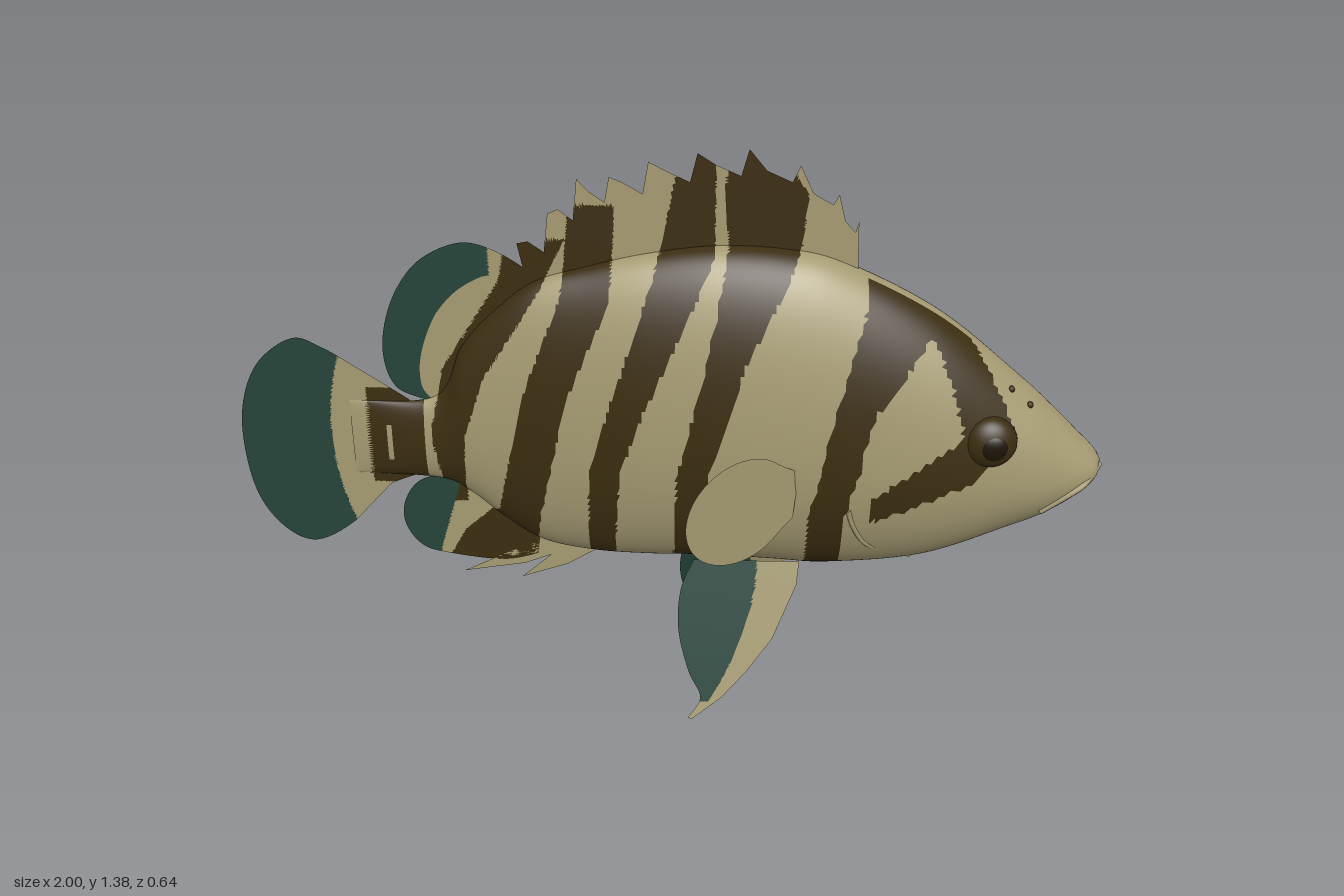
import * as THREE from 'three';

const mat = (name, color) => {
  const m = new THREE.MeshStandardMaterial({ color, side: THREE.DoubleSide });
  m.name = name;
  return m;
};
const lerp = THREE.MathUtils.lerp;

// Body stations: x, top, bottom, half width
const BODY = [
  [-.74, .765, .575, .004], [-.54, .78, .565, .035], [-.47, .91, .53, .05], [-.39, 1, .46, .067],
  [-.3, 1.07, .4, .085], [-.18, 1.108, .375, .108], [-.05, 1.14, .37, .132], [.1, 1.16, .372, .148],
  [.25, 1.155, .365, .156], [.38, 1.125, .36, .157], [.6, 1.01, .39, .152], [.8, .845, .475, .125],
  [.88, .77, .515, .105], [.94, .71, .56, .083], [.98, .67, .6, .055], [.997, .645, .63, .008],
];

// Dark bands, each a few rows of y, left x, right x from top to bottom
const cheekBand = [[1.1, .44, .53], [1.03, .43, .61], [.82, .37, .46], [.55, .32, .4], [.34, .32, .4]];
const browBand = [[1.03, .55, .62], [.9, .62, .71], [.76, .66, .78]];
const eyeBar = [[.78, .68, .76], [.66, .52, .7], [.61, .46, .6], [.55, .46, .48]];
const shoulderBand = [[1.4, .13, .22], [1.28, .12, .3], [1.16, .13, .29], [.93, .085, .17], [.65, .02, .09], [.34, .01, .09]];
const middleBand = [[1.4, .03, .1], [1.15, -.02, .1], [.82, -.13, -.05], [.65, -.18, -.11], [.34, -.19, -.13]];
const hipBand = [[1.25, -.22, -.12], [1.05, -.24, -.13], [.82, -.33, -.23], [.5, -.4, -.3], [.42, -.49, -.31], [.33, -.54, -.32]];
const rearBand = [[1.17, -.36, -.23], [1.07, -.38, -.28], [.85, -.52, -.42], [.7, -.55, -.47], [.5, -.52, -.48]];
const tailBand = [[.8, -.7, -.565], [.55, -.7, -.565]];
const bands = [cheekBand, browBand, eyeBar, shoulderBand, middleBand, hipBand, rearBand, tailBand];

function isDark(x, y) {
  // pale slit inside the tail band
  if (Math.abs(x + .65) < .01 && Math.abs(y - .665) < .045) return false;
  return bands.some(rows => rows.slice(1).some((b, k) => {
    const a = rows[k];
    if (y > a[0] || y <= b[0]) return false;
    const t = (a[0] - y) / (a[0] - b[0]);
    return x > lerp(a[1], b[1], t) && x < lerp(a[2], b[2], t);
  }));
}

// Body section at x, and the half width of the skin at (x, y)
function section(x) {
  let k = 0;
  while (k < BODY.length - 2 && BODY[k + 1][0] < x) k++;
  const a = BODY[k], b = BODY[k + 1];
  return a.map((v, n) => lerp(v, b[n], (x - a[0]) / (b[0] - a[0])));
}
function skin(x, y) {
  const [, top, bottom, w] = section(x);
  const cy = lerp(bottom, top, .43);
  const s = (y - cy) / (y > cy ? top - cy : cy - bottom);
  return w * Math.sqrt(Math.max(0, 1 - s * s));
}

// Grid surface whose cells are painted with one of several materials
function grid(name, nu, nv, point, paint, materials, closed = false) {
  const cols = closed ? nv : nv + 1, pos = [];
  for (let i = 0; i <= nu; i++) for (let j = 0; j < cols; j++) pos.push(...point(i / nu, j / nv));
  const lists = materials.map(() => []);
  const tri = (v, ...ids) => {
    const c = [0, 1, 2].map(n => ids.reduce((s, id) => s + pos[id * 3 + n], 0) / 3);
    lists[paint(...c, v)].push(...ids);
  };
  for (let i = 0; i < nu; i++) for (let j = 0; j < nv; j++) {
    const j2 = (j + 1) % cols, v = (j + .5) / nv;
    const a = i * cols + j, b = a + cols, c = (i + 1) * cols + j2, d = i * cols + j2;
    tri(v, a, b, c);
    tri(v, a, c, d);
  }
  const g = new THREE.BufferGeometry();
  g.setAttribute('position', new THREE.Float32BufferAttribute(pos, 3));
  g.setIndex(lists.flat());
  let start = 0;
  lists.forEach((l, n) => { g.addGroup(start, l.length, n); start += l.length; });
  g.computeVertexNormals();
  const mesh = new THREE.Mesh(g, materials);
  mesh.name = name;
  return mesh;
}

// Point along a smooth or straight-sided outline
function outline(pts, smooth) {
  const v = pts.map(p => new THREE.Vector2(...p));
  if (smooth) { const c = new THREE.SplineCurve(v); return t => c.getPoint(t); }
  return t => {
    const k = Math.min(Math.floor(t * (v.length - 1) + 1e-9), v.length - 2);
    return v[k].clone().lerp(v[k + 1], t * (v.length - 1) - k);
  };
}

export function createModel() {
  const fish = new THREE.Group();
  fish.name = 'fish';
  const khaki = mat('khaki skin', 0xa59a72);
  const brown = mat('dark brown bands', 0x3b2d10);
  const green = mat('dark green fin edge', 0x25443a);
  const black = mat('pupil', 0x1c1508);
  const skins = [khaki, brown, green];

  // Thin fin stretched from a base line to an outer edge
  const fin = (name, edgePts, basePts, paint, { smooth = true, z = () => 0, nu = 120, nv = 30 } = {}) => {
    const edge = outline(edgePts, smooth), base = outline(basePts, false);
    fish.add(grid(name, nu, nv, (u, v) => {
      const p = base(u).lerp(edge(u), v);
      return [p.x, p.y, z(p.x, p.y)];
    }, paint, skins));
  };
  const banded = (x, y) => isDark(x, y) ? 1 : 0;
  const plain = () => 0;

  // Body: egg-shaped sections along a smooth profile
  const spline = f => new THREE.CatmullRomCurve3(BODY.map(f), false, 'catmullrom', .5);
  const heights = spline(r => new THREE.Vector3(r[0], r[1], r[2]));
  const widths = spline(r => new THREE.Vector3(r[0], r[3], 0));
  fish.add(grid('body', 270, 96, (u, v) => {
    const { x, y: top, z: bottom } = heights.getPoint(u), w = widths.getPoint(u).y;
    const a = v * Math.PI * 2, s = Math.sin(a), cy = lerp(bottom, top, .43);
    return [x, cy + s * (s > 0 ? top - cy : cy - bottom), Math.cos(a) * w];
  }, (x, y, z) => x > .4 && Math.abs(z) < .02 ? 0 : banded(x, y), skins, true));

  // Tail
  fin('tailFin', [[-.6, .77], [-.7, .84], [-.79, .9], [-.86, .922], [-.95, .85], [-.997, .715], [-.99, .54],
    [-.94, .43], [-.86, .382], [-.76, .435], [-.68, .53], [-.6, .57]], [[-.6, .755], [-.6, .585]],
  (x, y) => x < -.79 + .75 * (y - .67) ** 2 ? 2 : banded(x, y), { nv: 70, nu: 150 });

  // Spiny back fin: a notch is cut between each pair of spine tips
  const tips = [[-.335, 1.16], [-.265, 1.23], [-.2, 1.31], [-.13, 1.315], [-.045, 1.35], [.06, 1.37], [.17, 1.38],
    [.28, 1.345], [.365, 1.28], [.41, 1.22]];
  const spiny = tips.flatMap((p, k) => {
    const q = tips[k + 1];
    return q ? [p, [lerp(p[0], q[0], .35), (p[1] + q[1]) / 2 - .03], [lerp(p[0], q[0], .85), (p[1] + q[1]) / 2 - .055]] : [p];
  });
  const backLine = spiny.map((p, k) => {
    const x = lerp(-.31, .415, k / (spiny.length - 1));
    return [x, section(x)[1] - .025];
  });
  fin('spinyDorsalFin', spiny, backLine, banded, { smooth: false, nu: 9 * 3 * 6 });

  // Rounded rear back fin
  fin('softDorsalFin', [[-.29, 1.08], [-.38, 1.14], [-.46, 1.16], [-.55, 1.12], [-.61, 1.045], [-.645, .95],
    [-.65, .865], [-.625, .8], [-.56, .77]], [[-.29, 1.05], [-.37, 1], [-.44, .93], [-.49, .85], [-.53, .76]],
  (x, y, z, v) => v > .5 && x < -.4 ? 2 : banded(x, y));

  // Rear belly fin with its loose spines
  fin('analFin', [[-.52, .575], [-.59, .555], [-.63, .5], [-.635, .435], [-.6, .375], [-.54, .352], [-.4, .335], [-.3, .36]],
    [[-.5, .57], [-.44, .51], [-.37, .455], [-.28, .41]],
    (x, y) => x < -.52 + .3 * (y - .47) ? 2 : banded(x, y));
  for (const [n, x, tipX, tipY] of [[1, -.2, -.5, .3], [2, -.15, -.36, .285]]) {
    const middle = lerp(x, tipX, .6);
    fin('analSpine' + n, [[x - .08, .4], [middle, .36], [tipX, tipY]], [[x, .385], [middle + .03, .325], [tipX, tipY]],
      plain, { nu: 12, nv: 4 });
  }

  // Paddle outline of the pectoral fin
  const paddle = Array.from({ length: 13 }, (_, k) => {
    const a = THREE.MathUtils.degToRad(lerp(40, 320, k / 12));
    return [.165 + .12 * Math.cos(a), .625 + .13 * Math.sin(a)];
  });

  for (const [side, s] of [['Front', 1], ['Back', -1]]) {
    // Long pelvic fins splayed outwards
    fin('pelvicFin' + side, [[.06, .385], [.03, .315], [.025, .22], [.05, .12], [.08, .055], [.05, .005]],
      [[.31, .385], [.305, .33], [.25, .2], [.19, .12], [.13, .055], [.06, .002]],
      (x, y) => y > .045 && x < .21 - .9 * (.38 - y) ** 2 - .03 * (.38 - y) ? 2 : 0,
      { z: (x, y) => s * (.065 + (.385 - y) * .31), nu: 60, nv: 40 });

    // Pectoral fins
    fin('pectoralFin' + side, paddle, [[.295, .68], [.285, .565]], plain,
      { z: x => s * (.15 + (.295 - x) * .68), nu: 40, nv: 8 });

    // Eye and pupil
    const eye = new THREE.Group();
    eye.name = 'eye' + side;
    const ball = new THREE.Mesh(new THREE.SphereGeometry(1, 28, 20), brown);
    ball.name = 'eyeball';
    ball.scale.set(.062, .062, .042);
    const pupil = new THREE.Mesh(new THREE.SphereGeometry(1, 20, 14), black);
    pupil.name = 'pupil';
    pupil.scale.set(.032, .032, .014);
    pupil.position.set(.005, 0, s * .031);
    eye.add(ball, pupil);
    eye.position.set(.718, .745, s * .114);
    fish.add(eye);

    // Nostrils
    for (const x of [.765, .81]) {
      const y = section(x)[1] - .025;
      const nostril = new THREE.Mesh(new THREE.SphereGeometry(.008, 10, 8), brown);
      nostril.name = 'nostril' + side;
      nostril.position.set(x, y, s * skin(x, y));
      fish.add(nostril);
    }

    // Lip and gill-cover ridges following the skin
    const ridge = (name, pts, r) => {
      const curve = new THREE.CatmullRomCurve3(pts.map(([x, y]) => new THREE.Vector3(x, y, s * skin(x, y))));
      const m = new THREE.Mesh(new THREE.TubeGeometry(curve, 32, r, 8), khaki);
      m.name = name + side;
      fish.add(m);
    };
    ridge('lip', [[.992, .64], [.95, .615], [.91, .59], [.855, .55]], .009);
    ridge('gillCover', [[.41, .58], [.425, .53], [.46, .47], [.57, .405]], .006);
  }
  return fish;
}
